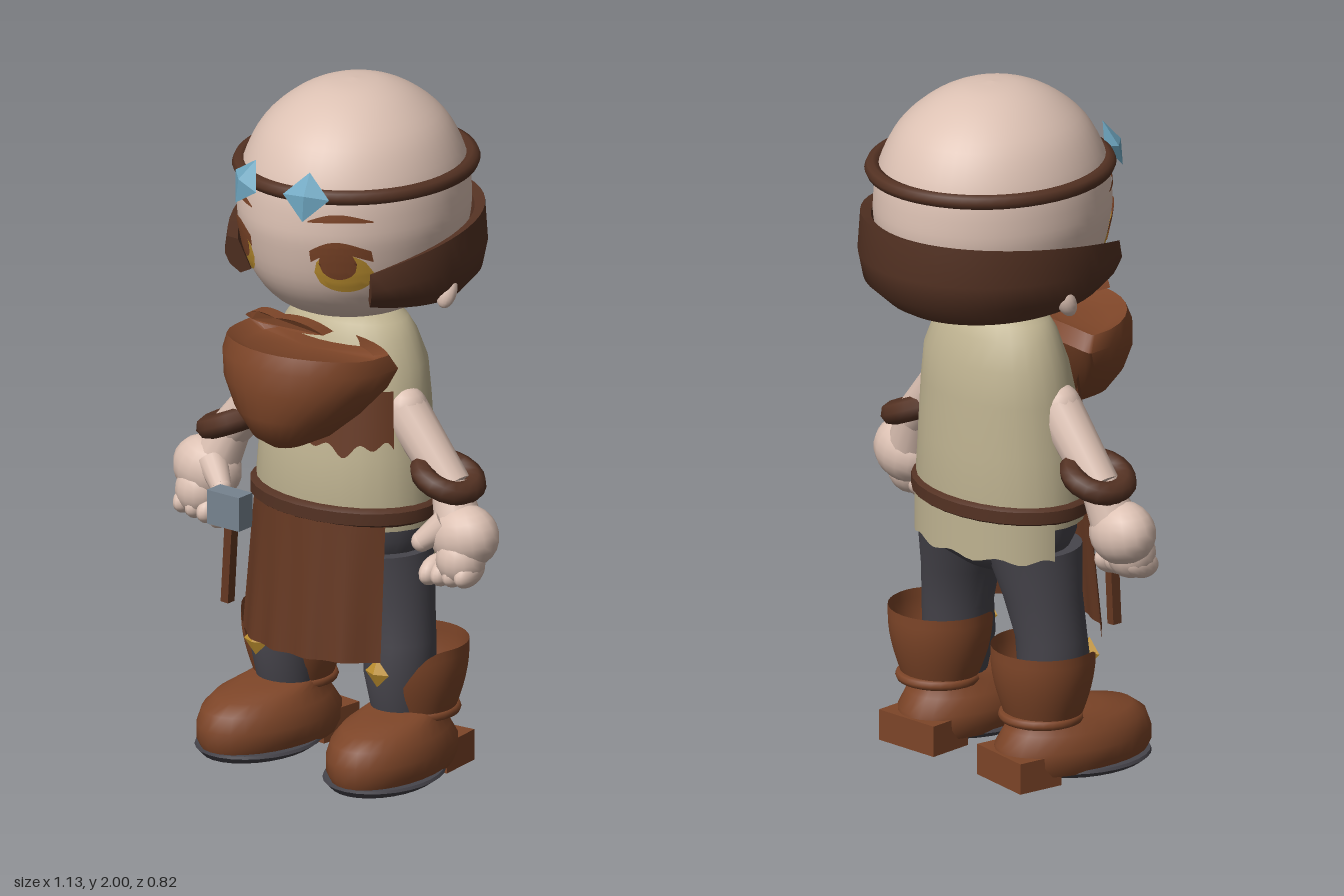
import * as THREE from 'three';
import { toCreasedNormals } from 'three/addons/utils/BufferGeometryUtils.js';
import { ParametricGeometry } from 'three/addons/geometries/ParametricGeometry.js';

const paint = (name, color) => new THREE.MeshStandardMaterial({ name, color, side: THREE.DoubleSide });
const M = {
  skin: paint('skin', 0xdcc1b3), shirt: paint('shirt linen', 0xbfb391), dark: paint('dark leather', 0x543223),
  boot: paint('boot leather', 0x7d4528), apron: paint('apron leather', 0x653822), pants: paint('charcoal cloth', 0x47454c),
  gold: paint('gold', 0xbf9130), gem: paint('blue gem', 0x6ea6c0), steel: paint('steel', 0x76838f),
};
const V = (x, y, z) => new THREE.Vector3(x, y, z);
const lerp = THREE.MathUtils.lerp;

// Skin between equal-sized rings of points, with both ends capped
function loft(rings, crease = 0.8) {
  const n = rings[0].length, pos = [], idx = [], last = rings.length - 1;
  rings.forEach(r => r.forEach(p => pos.push(p.x, p.y, p.z)));
  for (let i = 0; i < last; i++) for (let j = 0; j < n; j++) {
    const a = i * n + j, b = i * n + (j + 1) % n;
    idx.push(a, a + n, b, a + n, b + n, b);
  }
  [0, last].forEach(k => {
    const c = rings[k].reduce((s, p) => s.add(p), V(0, 0, 0)).divideScalar(n), ci = pos.length / 3;
    pos.push(c.x, c.y, c.z);
    for (let j = 0; j < n; j++) {
      const a = k * n + j, b = k * n + (j + 1) % n;
      if (k) idx.push(ci, b, a); else idx.push(ci, a, b);
    }
  });
  const g = new THREE.BufferGeometry();
  g.setAttribute('position', new THREE.Float32BufferAttribute(pos, 3));
  g.setIndex(idx);
  return toCreasedNormals(g, crease);
}
// Horizontal ellipse, row = [y, rx, rz, cx, cz]
const oval = ([y, rx, rz, cx = 0, cz = 0], n = 28) => Array.from({ length: n }, (_, j) => {
  const a = j / n * Math.PI * 2;
  return V(cx + rx * Math.cos(a), y, cz + rz * Math.sin(a));
});
const stack = (rows, crease) => loft(rows.map(r => oval(r)), crease);
const sheet = (fn, nu, nv) => new ParametricGeometry((u, v, t) => t.copy(fn(u, v)), nu, nv);

export function createModel() {
  const root = new THREE.Group();
  root.name = 'craftsman';
  const add = (name, geo, mat, p = [0, 0, 0], r = [0, 0, 0], s = [1, 1, 1]) => {
    const m = new THREE.Mesh(geo, mat);
    m.name = name;
    m.position.set(...p); m.rotation.set(...r); m.scale.set(...s);
    root.add(m);
    return m;
  };
  const ball = (name, mat, p, s, r) => add(name, new THREE.SphereGeometry(1, 16, 12), mat, p, r, s);
  const limb = (name, mat, a, b, ra, rb) => {
    const d = b.clone().sub(a);
    const m = add(name, new THREE.CylinderGeometry(rb, ra, d.length(), 14), mat, a.clone().add(b).multiplyScalar(0.5).toArray());
    m.quaternion.setFromUnitVectors(V(0, 1, 0), d.normalize());
  };

  // Head
  const profile = new THREE.SplineCurve([[0, 1.33], [0.12, 1.338], [0.215, 1.38], [0.28, 1.47], [0.31, 1.59], [0.314, 1.67],
    [0.3, 1.77], [0.25, 1.875], [0.17, 1.95], [0.085, 1.99], [0, 2]].map(p => new THREE.Vector2(...p))).getPoints(40);
  profile.forEach(p => { p.x = Math.max(p.x, 0); });
  add('head', new THREE.LatheGeometry(profile, 48), M.skin, [0, 0, -0.022], [0, 0, 0], [1, 1, 1.11]);
  const onFace = (x, y, off) => {
    const i = Math.max(1, profile.findIndex(p => p.y >= y)), a = profile[i - 1], b = profile[i];
    const r = lerp(a.x, b.x, (y - a.y) / (b.y - a.y));
    return V(x, y, Math.sqrt(Math.max(0, r * r - x * x)) * 1.11 - 0.022 + off);
  };
  // Painted patch on the face between two curves
  const patch = (name, mat, s, x0, x1, top, bottom, off) => add(name, sheet((u, v) =>
    onFace(s * lerp(x0, x1, u), lerp(bottom(u), top(u), v), off), 14, 8), mat);
  const disc = (name, mat, s, cx, cy, rx, ry, off) => {
    const h = u => ry * Math.sqrt(Math.max(0, 1 - (2 * u - 1) ** 2));
    patch(name, mat, s, cx - rx, cx + rx, u => cy + h(u), u => cy - h(u), off);
  };

  // Hair shell wrapped round the back of the head
  const hair = Array.from({ length: 41 }, (_, i) => {
    const t = lerp(-2.32, 2.32, i / 40), f = Math.abs(t) / 2.32;
    const top = 1.63 - 0.09 * f ** 3, bot = 1.375 + 0.055 * f ** 2, low = lerp(0.76, 0.88, f);
    return [[0.9, top - 0.01], [0.98, top], [1, lerp(bot, top, 0.55)], [0.96, lerp(bot, top, 0.25)], [low, bot], [low - 0.08, bot + 0.01]]
      .map(([k, y]) => V(0.36 * k * Math.sin(t), y, -0.03 - 0.38 * k * Math.cos(t)));
  });
  add('hair', loft(hair, 0.7), M.dark);
  add('headband', new THREE.TorusGeometry(0.315, 0.022, 8, 56), M.dark, [0, 1.757, -0.03], [Math.PI / 2, 0, 0], [1, 1.08, 1]);

  // Moustache, bent back round the face
  const lip = new THREE.Shape();
  lip.moveTo(-0.14, 1.352);
  lip.quadraticCurveTo(-0.08, 1.4, 0, 1.383);
  lip.quadraticCurveTo(0.08, 1.4, 0.14, 1.352);
  lip.quadraticCurveTo(0.06, 1.352, 0, 1.362);
  lip.quadraticCurveTo(-0.06, 1.352, -0.14, 1.352);
  const lipGeo = new THREE.ExtrudeGeometry(lip, { depth: 0.045, bevelEnabled: false, curveSegments: 8 });
  const lp = lipGeo.attributes.position;
  for (let i = 0; i < lp.count; i++) lp.setZ(i, lp.getZ(i) + 0.285 - 2 * lp.getX(i) ** 2);
  lipGeo.computeVertexNormals();
  add('moustache', lipGeo, M.boot);

  // Shirt, open back tail and belt
  add('shirt', stack([[0.74, 0.278, 0.195, 0, 0.01], [0.82, 0.282, 0.204, 0, 0.012], [0.95, 0.272, 0.198, 0, 0.01],
    [1.1, 0.257, 0.182, 0, 0], [1.2, 0.243, 0.166, 0, -0.008], [1.28, 0.21, 0.14, 0, -0.008],
    [1.32, 0.18, 0.12, 0, -0.008], [1.345, 0.13, 0.085, 0, -0.008]]), M.shirt);
  add('shirtTail', sheet((u, v) => {
    const a = lerp(Math.PI + 0.2, Math.PI * 2 - 0.2, u);
    return V(0.283 * Math.cos(a), lerp(0.65 + 0.008 * Math.sin(u * 30), 0.78, v), 0.01 + 0.207 * Math.sin(a));
  }, 30, 3), M.shirt);
  add('belt', stack([[0.757, 0.28, 0.205, 0, 0.015], [0.768, 0.297, 0.22, 0, 0.015], [0.803, 0.297, 0.22, 0, 0.015],
    [0.814, 0.28, 0.205, 0, 0.015]]), M.dark);

  // Ragged chest panel and hanging apron
  add('chestPanel', sheet((u, v) => {
    const a = lerp(0.48, Math.PI - 0.48, u), hem = 0.985 + 0.014 * Math.sin(u * 40) + 0.012 * Math.sin(u * 17);
    const y = lerp(hem, 1.15, v), k = (y - 0.95) / 0.15;
    return V(lerp(0.28, 0.264, k) * Math.cos(a), y, lerp(0.016, 0.008, k) + lerp(0.203, 0.188, k) * Math.sin(a));
  }, 60, 4), M.apron);
  add('apron', sheet((u, v) => {
    const q = 2 * u - 1, y = lerp(0.37, 0.77, v);
    return V(q * lerp(0.247, 0.235, v), y, lerp(0.27, 0.232, v) - 0.1 * Math.abs(q) ** 2.4 - 0.006 * Math.cos(q * 14) * (1 - v));
  }, 28, 6), M.apron);

  // Bulky bib scarf: bowed cross-sections whose ends sit lower and further back
  const bib = [[1.0, 0.05, 0.33, 0.25], [1.03, 0.11, 0.375, 0.225], [1.1, 0.185, 0.405, 0.185], [1.18, 0.248, 0.412, 0.14],
    [1.25, 0.265, 0.408, 0.115], [1.295, 0.25, 0.385, 0.14], [1.27, 0.2, 0.34, 0.14]].map(([y, w, zf, zs]) =>
    Array.from({ length: 32 }, (_, j) => {
      const a = j / 32 * Math.PI * 2, s = Math.sin(a), c = Math.cos(a);
      const drop = y > 1.2 ? 0.02 * Math.abs(c) ** 4 : 0;
      return V(w * c, y - drop, zs + (s > 0 ? (zf - zs) * s ** 0.85 : 0.04 * s));
    }));
  add('bibScarf', loft(bib), M.boot);

  // Hammer tucked into the belt
  add('hammerHead', new THREE.BoxGeometry(0.115, 0.1, 0.06), M.steel, [-0.29, 0.712, 0.175]);
  add('hammerHandle', new THREE.BoxGeometry(0.026, 0.24, 0.03), M.apron, [-0.298, 0.55, 0.165], [0, 0, -0.06]);

  add('hips', stack([[0.58, 0.13, 0.09], [0.62, 0.22, 0.145], [0.7, 0.265, 0.178], [0.78, 0.265, 0.18]]), M.pants);

  for (const s of [1, -1]) {
    const side = s > 0 ? 'left' : 'right', n = part => side + part;

    // Face details
    patch(n('Eyebrow'), M.boot, s, 0.1, 0.245, u => 1.688 + 0.022 * Math.sin(u * Math.PI), u => 1.684 + 0.002 * Math.sin(u * Math.PI), 0.004);
    disc(n('EyeGlow'), M.gold, s, 0.172, 1.532, 0.064, 0.062, 0.003);
    disc(n('Iris'), M.boot, s, 0.168, 1.562, 0.043, 0.05, 0.006);
    patch(n('EyeLash'), M.boot, s, 0.105, 0.242, u => 1.6 + 0.03 * Math.sin(u * Math.PI), u => 1.565 + 0.03 * Math.sin(u * Math.PI), 0.007);
    ball(n('Ear'), M.skin, [s * 0.325, 1.435, -0.03], [0.03, 0.048, 0.027], [-0.4, 0, 0]);
    add(n('Gem'), new THREE.OctahedronGeometry(1).toNonIndexed(), M.gem, [s * 0.108, 1.765, 0.328],
      [-0.4, s * 0.35, s > 0 ? 0.1 : -0.35], [0.068, 0.07, 0.026]);

    // Arm, bracelet and fist
    ball(n('Shoulder'), M.skin, [s * 0.225, 1.08, 0.03], [0.066, 0.07, 0.064]);
    limb(n('Arm'), M.skin, V(s * 0.225, 1.08, 0.03), V(s * 0.395, 0.89, 0.035), 0.066, 0.058);
    limb(n('Wrist'), M.skin, V(s * 0.39, 0.9, 0.035), V(s * 0.44, 0.78, 0.055), 0.055, 0.07);
    add(n('Bracelet'), new THREE.TorusGeometry(0.078, 0.034, 8, 18), M.dark, [s * 0.384, 0.918, 0.037], [Math.PI / 2, s * -0.4, 0]);
    ball(n('Palm'), M.skin, [s * 0.462, 0.765, 0.06], [0.106, 0.092, 0.085], [0, 0, s * 0.2]);
    ball(n('Knuckles'), M.skin, [s * 0.468, 0.705, 0.085], [0.072, 0.075, 0.07]);
    for (let i = 0; i < 4; i++)
      ball(n('Finger'), M.skin, [s * (0.378 + 0.042 * i), 0.658 + 0.006 * i, 0.092], [0.032, 0.04, 0.06], [0.3, 0, 0]);
    limb(n('Thumb'), M.skin, V(s * 0.42, 0.8, 0.09), V(s * 0.36, 0.745, 0.125), 0.045, 0.03);
    ball(n('ThumbTip'), M.skin, [s * 0.36, 0.745, 0.125], [0.03, 0.03, 0.03]);

    // Trouser leg
    add(n('Leg'), stack([[0.18, 0.085, 0.085, s * 0.205, 0.02], [0.3, 0.1, 0.105, s * 0.205, 0.03], [0.4, 0.1, 0.102, s * 0.2, 0.022],
      [0.52, 0.108, 0.115, s * 0.175, 0.012], [0.66, 0.128, 0.145, s * 0.142, 0.005]]), M.pants);

    // Boot: cuff notched at the front, ankle roll, foot, sole and heel
    add(n('BootCuff'), sheet((u, v) => {
      const a = u * Math.PI * 2, f = Math.max(0, Math.sin(a)) ** 5;
      const y = lerp(0.17, 0.39 - 0.16 * f, v), k = (y - 0.17) / 0.22;
      const r = 0.105 + 0.045 * Math.sin(Math.min(1, k * 1.15) * Math.PI / 2);
      return V(s * 0.22 + r * Math.cos(a), y, -0.025 + r * 0.97 * Math.sin(a));
    }, 36, 8), M.boot);
    add(n('AnkleRoll'), new THREE.TorusGeometry(0.108, 0.015, 8, 28), M.boot, [s * 0.22, 0.185, -0.03], [Math.PI / 2, 0, 0]);
    const turn = [0, s * 0.1, 0], foot = [s * 0.212, 0, 0];
    add(n('BootFoot'), stack([[0.028, 0.135, 0.235, 0, 0.082], [0.06, 0.15, 0.248, 0, 0.084], [0.1, 0.153, 0.246, 0, 0.085],
      [0.145, 0.138, 0.222, 0, 0.092], [0.175, 0.118, 0.19, 0, 0.082], [0.195, 0.1, 0.135, 0, 0.03], [0.21, 0.085, 0.085, 0, -0.02]]), M.boot, foot, turn);
    add(n('BootSole'), stack([[0.012, 0.135, 0.185, 0, 0.125], [0.03, 0.16, 0.2, 0, 0.125], [0.038, 0.155, 0.198, 0, 0.125]]), M.pants, foot, turn);
    add(n('BootHeel'), new THREE.BoxGeometry(0.21, 0.09, 0.14), M.boot, [s * 0.205, 0.045, -0.1], turn);

    // Gold trim
    add(n('KneeStud'), new THREE.OctahedronGeometry(1), M.gold, [s * 0.218, 0.328, 0.148], [0, 0, 0], [0.042, 0.042, 0.018]);
    ball(n('BootButton'), M.gold, [s * 0.3, 0.18, 0.075], [0.018, 0.015, 0.018]);
  }
  return root;
}
